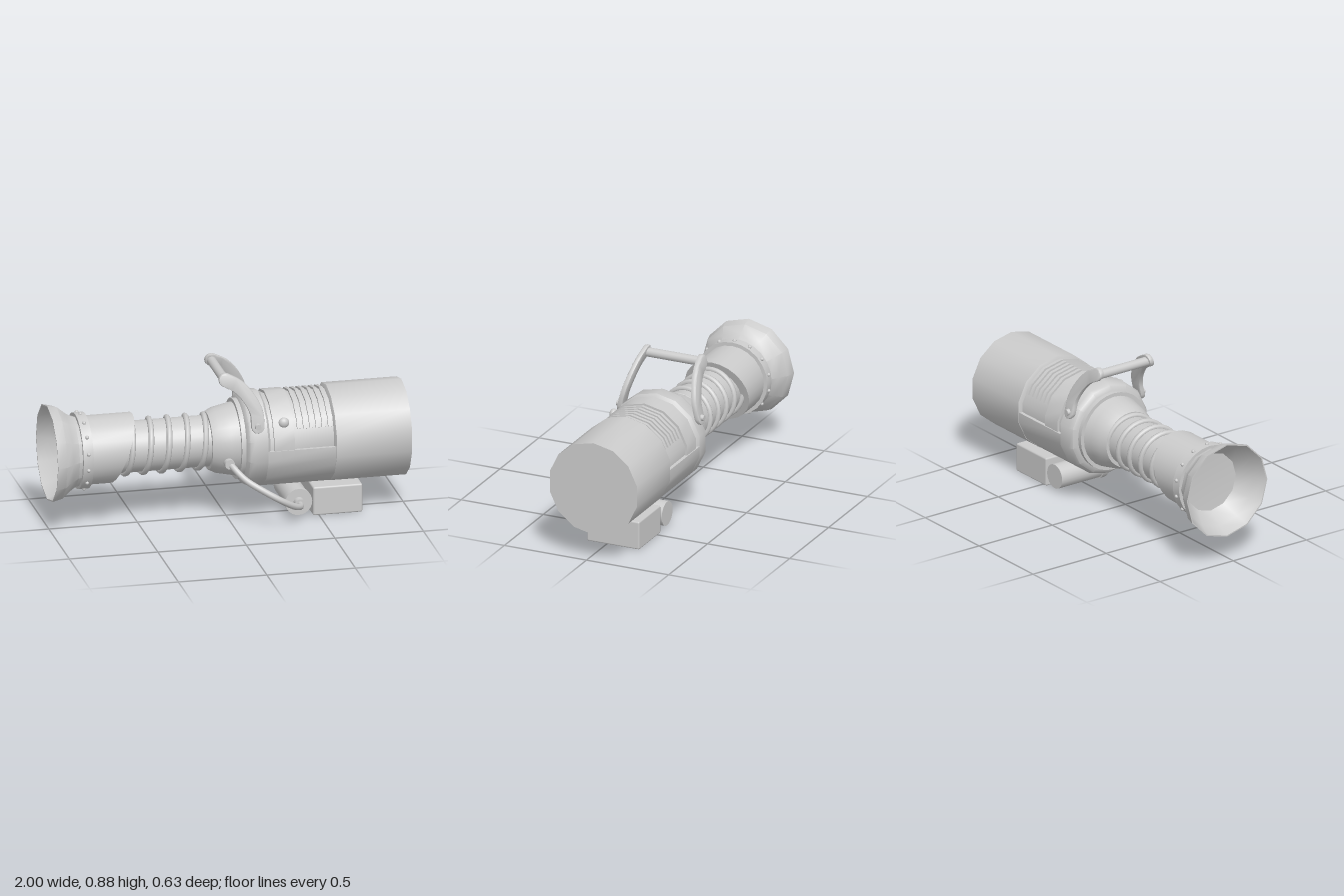
import * as THREE from 'three';
import { toCreasedNormals } from 'three/addons/utils/BufferGeometryUtils.js';
import { RoundedBoxGeometry } from 'three/addons/geometries/RoundedBoxGeometry.js';

const AXIS_Y = 0.43, AXIS_Z = -0.042;
const STEP = Math.PI / 14;

export function createModel() {
  const model = new THREE.Group();
  const material = new THREE.MeshStandardMaterial({ color: 0xcccccc });

  const add = (name, geometry, parent = model) => {
    const mesh = new THREE.Mesh(geometry, material);
    mesh.name = name;
    parent.add(mesh);
    return mesh;
  };

  // Everything turned around the long axis lives in this group
  const barrel = new THREE.Group();
  barrel.name = 'barrel';
  barrel.position.set(0, AXIS_Y, AXIS_Z);
  model.add(barrel);

  // Turned part: profile of [x, radius], with a corner at the top
  const turned = (name, profile, sides = 14) => {
    const points = profile.map(([x, r]) => new THREE.Vector2(r, x));
    const g = new THREE.LatheGeometry(points, sides, Math.PI / 2);
    g.rotateZ(-Math.PI / 2);
    return add(name, toCreasedNormals(g, 0.62), barrel);
  };

  // Curved slab that follows the 14-sided body, between half-side indices i0 and i1
  const slab = (name, x0, x1, rIn, rOut, i0, i1) => {
    const point = (i, r) => {
      const k = i % 2 ? r : r * Math.cos(STEP);
      return new THREE.Vector2(k * Math.cos(i * STEP), k * Math.sin(i * STEP));
    };
    const outline = [];
    for (let i = i0; i <= i1; i++) outline.push(point(i, rOut));
    for (let i = i1; i >= i0; i--) outline.push(point(i, rIn));
    const g = new THREE.ExtrudeGeometry(new THREE.Shape(outline), { depth: x1 - x0, bevelEnabled: false });
    g.rotateY(Math.PI / 2).translate(x0, 0, 0);
    return add(name, toCreasedNormals(g, 0.62), barrel);
  };

  // Flared mouth, hollow inside
  turned('mouth', [[-0.84, 0], [-0.85, 0.17], [-0.93, 0.235], [-1, 0.268], [-1, 0.275],
    [-0.945, 0.262], [-0.9, 0.225], [-0.86, 0.2], [-0.78, 0.19]], 12);

  // Riveted band behind the mouth
  turned('band', [[-0.842, 0.18], [-0.842, 0.213], [-0.785, 0.213], [-0.785, 0.18]], 24);
  for (let i = 0; i < 14; i++) {
    const a = (i + 0.5) * 2 * STEP;
    add('rivet', new THREE.SphereGeometry(0.011, 8, 6), barrel)
      .position.set(-0.813, 0.213 * Math.sin(a), 0.213 * Math.cos(a));
  }

  // Collar whose rear end is cut at a slant
  const collar = turned('collar', [[-0.84, 0.192], [-0.56, 0.192], [-0.56, 0.17], [-0.565, 0]], 24);
  const cp = collar.geometry.attributes.position;
  for (let i = 0; i < cp.count; i++) {
    if (cp.getX(i) > -0.7) cp.setX(i, cp.getX(i) - 0.03 + 0.37 * cp.getY(i));
  }
  collar.geometry = toCreasedNormals(collar.geometry, 0.62);

  // Neck with a spiral wound around it
  turned('neck', [[-0.7, 0.143], [-0.08, 0.143]], 24);
  const spiral = [];
  const turns = 5.5;
  for (let i = 0; i <= turns * 16; i++) {
    const a = i / 16 * Math.PI * 2;
    spiral.push(new THREE.Vector3(-0.655 + i / 16 * 0.103, 0.147 * Math.sin(a), 0.147 * Math.cos(a)));
  }
  add('spiral', new THREE.TubeGeometry(new THREE.CatmullRomCurve3(spiral), 176, 0.016, 8), barrel);

  // Shoulder widening from the neck to the body
  turned('shoulder', [[-0.1, 0.13], [-0.1, 0.162], [-0.06, 0.182], [0, 0.195], [0.05, 0.205],
    [0.05, 0.226], [0.08, 0.226]], 28);

  // Body: front ring, rear drum, recessed core and the lower half joining them
  turned('bodyFront', [[0.075, 0], [0.075, 0.235], [0.09, 0.258], [0.115, 0.27], [0.19, 0.27],
    [0.205, 0.25], [0.205, 0]]);
  turned('bodyCore', [[0.2, 0.25], [0.575, 0.25]]);
  slab('bodyLowerHalf', 0.19, 0.575, 0.235, 0.27, 14, 28);
  turned('bodyRear', [[0.565, 0], [0.565, 0.25], [0.575, 0.272], [1, 0.272], [1, 0]]);

  // Strap, button and cooling ribs in the recess
  slab('strap', 0.225, 0.34, 0.235, 0.264, 0, 14);
  for (let i = 0; i < 6; i++) slab('rib', 0.36 + i * 0.035, 0.38 + i * 0.035, 0.235, 0.262, 2, 12);
  const button = add('button', new THREE.SphereGeometry(0.03, 16, 10), barrel);
  button.position.set(0.287, 0.147, 0.213);
  button.scale.set(1, 1, 0.8);

  // Carrying handle: two bent, leaning arms and a grip
  const path = new THREE.CatmullRomCurve3([[0.135, 0.575], [0.132, 0.65], [0.095, 0.73], [0.035, 0.8], [-0.035, 0.84]]
    .map(([x, y]) => new THREE.Vector3(x, y, 0)));
  const handle = new THREE.Group();
  handle.name = 'handle';
  model.add(handle);
  const w = 0.03;
  const right = [], left = [];
  for (let i = 0; i <= 12; i++) {
    const p = path.getPoint(i / 12), t = path.getTangent(i / 12);
    right.push(new THREE.Vector2(p.x + t.y * w, p.y - t.x * w));
    left.unshift(new THREE.Vector2(p.x - t.y * w, p.y + t.x * w));
  }
  // Rounded end around a path end, swept from the angle of its tangent
  const roundEnd = (u, sign) => {
    const p = path.getPoint(u), t = path.getTangent(u);
    const a0 = Math.atan2(t.y, t.x) - sign * Math.PI / 2;
    return [1, 2, 3, 4, 5].map((k) => {
      const a = a0 + k * Math.PI / 6;
      return new THREE.Vector2(p.x + w * Math.cos(a), p.y + w * Math.sin(a));
    });
  };
  const outline = [...right, ...roundEnd(1, 1), ...left, ...roundEnd(0, -1)];
  for (const side of [1, -1]) {
    const g = new THREE.ExtrudeGeometry(new THREE.Shape(outline), {
      depth: 0.014, bevelThickness: 0.008, bevelSize: 0.007, bevelSegments: 2 });
    g.translate(0, 0, -0.007);
    const p = g.attributes.position;
    for (let i = 0; i < p.count; i++) {
      const lean = 0.242 - (p.getY(i) - 0.55) * 0.24;
      p.setZ(i, p.getZ(i) + AXIS_Z + side * lean);
    }
    add('handleArm', toCreasedNormals(g, 0.7), handle);
    const bolt = add('handleBolt', new THREE.CylinderGeometry(0.016, 0.02, 0.03, 12), handle);
    bolt.rotation.x = side * Math.PI / 2;
    bolt.position.set(0.133, 0.578, AXIS_Z + side * 0.25);
  }
  const grip = add('grip', new THREE.CylinderGeometry(0.026, 0.026, 0.35, 16), handle);
  grip.rotation.x = Math.PI / 2;
  grip.position.set(-0.035, 0.836, AXIS_Z);

  // Box and canister under the body
  add('box', new RoundedBoxGeometry(0.28, 0.165, 0.32, 1, 0.01)).position.set(0.605, 0.0825, -0.04);
  const alongZ = (name, r, z0, z1, sides) => {
    const mesh = add(name, new THREE.CylinderGeometry(r, r, z1 - z0, sides));
    mesh.rotation.x = Math.PI / 2;
    mesh.position.set(0.385, 0.086, (z0 + z1) / 2);
  };
  alongZ('canister', 0.07, -0.2, 0.105, 24);
  alongZ('canisterCap', 0.076, 0.08, 0.115, 24);
  alongZ('nozzle', 0.03, 0.11, 0.155, 16);

  // Hose from the shoulder to the canister
  const hose = new THREE.CatmullRomCurve3([[-0.015, 0.36, 0.11], [0.0, 0.34, 0.17], [0.06, 0.28, 0.235],
    [0.15, 0.225, 0.283], [0.25, 0.165, 0.297], [0.335, 0.11, 0.25], [0.38, 0.086, 0.185], [0.385, 0.086, 0.12]]
    .map((p) => new THREE.Vector3(...p)));
  add('hose', new THREE.TubeGeometry(hose, 40, 0.018, 10));
  const socket = add('hoseSocket', new THREE.CylinderGeometry(0.028, 0.028, 0.05, 14));
  socket.rotation.x = Math.PI / 2;
  socket.position.set(-0.015, 0.355, 0.145);

  return model;
}
